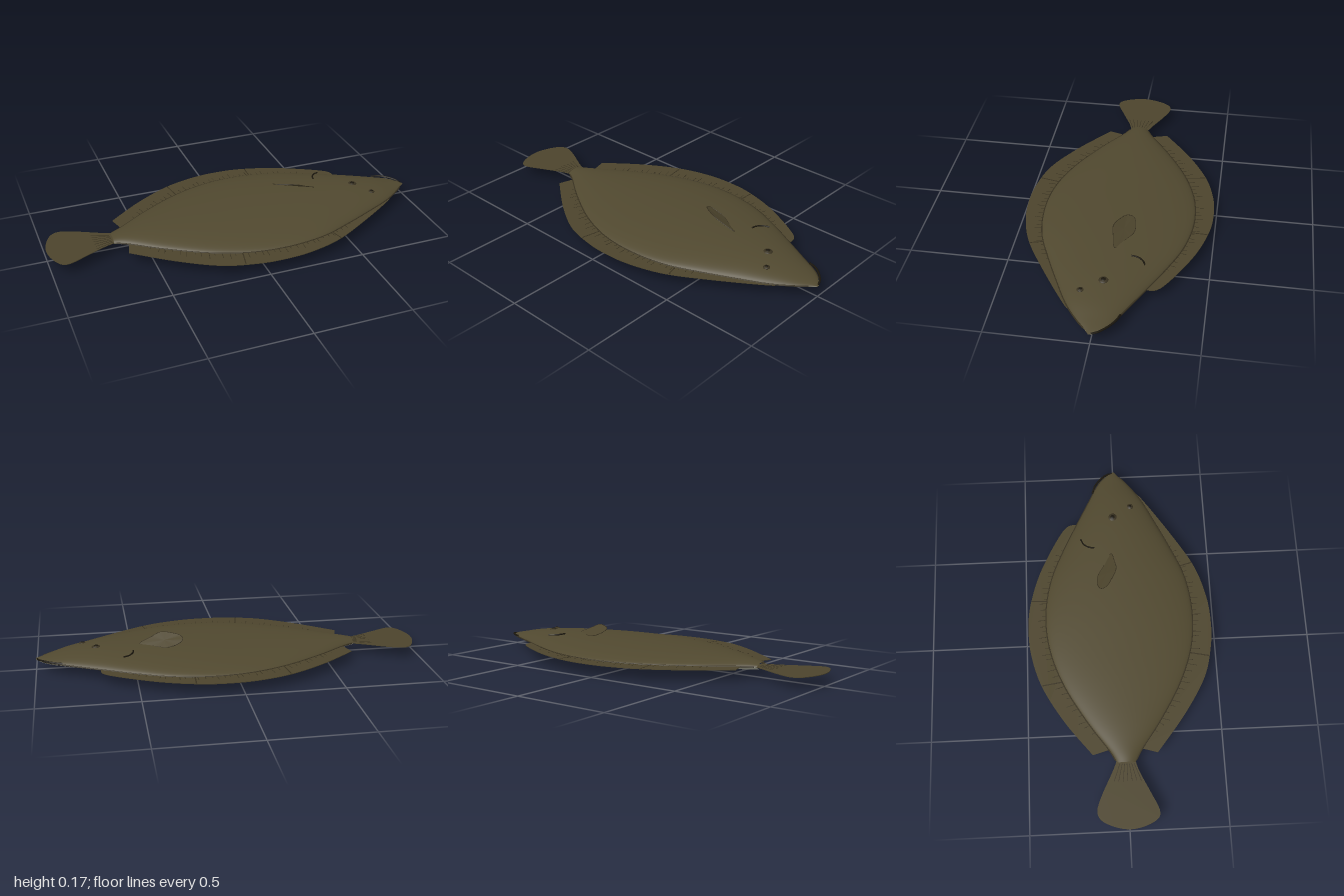
import * as THREE from 'three';

const mat = (name, color, side = THREE.FrontSide) => {
  const m = new THREE.MeshStandardMaterial({ color, side });
  m.name = name;
  return m;
};

export function createModel() {
  const group = new THREE.Group();
  const olive = mat('olive skin', 0x50482f);
  const finOlive = mat('olive fin', 0x4c442c, THREE.DoubleSide);
  const pale = mat('pale belly', 0xb2b2a0);
  const dark = mat('dark markings', 0x1a160d);
  const shade = mat('fin ray brown', 0x383120);
  const add = (name, geo, material) => {
    const m = new THREE.Mesh(geo, material);
    m.name = name;
    group.add(m);
    return m;
  };
  const V = (p) => new THREE.Vector3(...p);

  // Body stations: x, back edge z, front edge z, top y, bottom y
  const stations = [
    [-0.665, -0.05, 0.045, 0.076, 0.042], [-0.6, -0.085, 0.08, 0.086, 0.036],
    [-0.45, -0.19, 0.185, 0.098, 0.031], [-0.25, -0.305, 0.3, 0.107, 0.027],
    [-0.05, -0.375, 0.37, 0.113, 0.024], [0.15, -0.393, 0.386, 0.118, 0.024],
    [0.35, -0.36, 0.357, 0.12, 0.025], [0.53, -0.287, 0.285, 0.118, 0.026],
    [0.68, -0.212, 0.215, 0.112, 0.029], [0.82, -0.14, 0.145, 0.097, 0.033],
    [0.92, -0.088, 0.075, 0.078, 0.038], [0.975, -0.04, 0.026, 0.067, 0.046],
    [1.0, -0.004, 0.008, 0.06, 0.056],
  ];
  const columns = [1, 2, 3, 4].map((c) => new THREE.SplineCurve(
    stations.map((s) => new THREE.Vector2(s[0], s[c]))));
  const midY = 0.059;
  const NX = 72, NZ = 32;

  // One dome of the body, upper (column 2) or lower (column 3)
  function dome(col, up) {
    const pos = [], idx = [];
    for (let i = 0; i <= NX; i++) {
      const [back, front] = [0, 1].map((c) => columns[c].getPoint(i / NX));
      const h = columns[col].getPoint(i / NX).y - midY;
      for (let j = 0; j <= NZ; j++) {
        const u = -Math.cos((j / NZ) * Math.PI);
        const z = (back.y + front.y) / 2 + u * (front.y - back.y) / 2;
        pos.push(back.x, midY + h * Math.pow(Math.max(0, 1 - u * u), 0.62), z);
        if (i < NX && j < NZ) {
          const a = i * (NZ + 1) + j, b = a + NZ + 1;
          if (up) idx.push(a, a + 1, b, b, a + 1, b + 1);
          else idx.push(a, b, a + 1, b, b + 1, a + 1);
        }
      }
    }
    const g = new THREE.BufferGeometry();
    g.setAttribute('position', new THREE.Float32BufferAttribute(pos, 3));
    g.setIndex(idx);
    g.computeVertexNormals();
    return g;
  }
  add('upperBody', dome(2, true), olive);
  add('lowerBody', dome(3, false), pale);

  // Flat fins: a smooth outer edge, closed by points hidden in the body
  function flatFin(name, outer, inner) {
    const curve = new THREE.SplineCurve(outer.map((p) => new THREE.Vector2(...p)));
    const pts = [...curve.getPoints(60), ...inner.map((p) => new THREE.Vector2(...p))];
    const g = new THREE.ExtrudeGeometry(new THREE.Shape(pts), { depth: 0.003, bevelEnabled: false });
    g.rotateX(Math.PI / 2).translate(0, 0.061, 0);
    add(name, g, finOlive);
    return curve;
  }
  const dorsal = flatFin('dorsalFin', [[-0.62, -0.17], [-0.44, -0.31], [-0.25, -0.42], [-0.08, -0.473],
    [0.07, -0.487], [0.22, -0.473], [0.42, -0.41], [0.65, -0.285], [0.68, -0.21]],
  [[0.62, -0.16], [0, -0.25], [-0.59, -0.065]]);
  const anal = flatFin('analFin', [[-0.62, 0.16], [-0.42, 0.315], [-0.23, 0.428], [-0.06, 0.473],
    [0.08, 0.483], [0.23, 0.468], [0.41, 0.412], [0.62, 0.29], [0.83, 0.15], [0.85, 0.12]],
  [[0.8, 0.1], [0, 0.25], [-0.59, 0.06]]);
  flatFin('tailFin', [[-0.64, -0.045], [-0.71, -0.075], [-0.82, -0.13], [-0.9, -0.158], [-0.95, -0.14],
    [-0.985, -0.075], [-1, 0], [-0.988, 0.075], [-0.955, 0.14], [-0.91, 0.152], [-0.82, 0.112],
    [-0.71, 0.06], [-0.64, 0.04]], []);

  // Short rays along the fin roots, with a few long seams
  function ray(x0, z0, x1, z1, w, material) {
    const g = new THREE.BoxGeometry(Math.hypot(x1 - x0, z1 - z0), 0.004, w);
    const m = add('finRay', g, material);
    m.position.set((x0 + x1) / 2, 0.0597, (z0 + z1) / 2);
    m.rotation.y = -Math.atan2(z1 - z0, x1 - x0);
  }
  [[dorsal, 0, [-0.22, 0.23]], [anal, 1, [-0.1, 0.41]]].forEach(([outer, side, seams]) => {
    const rim = columns[side].getPoints(200);
    const edge = outer.getPoints(200);
    const near = (list, x) => list.reduce((a, b) => (Math.abs(b.x - x) < Math.abs(a.x - x) ? b : a));
    const link = (x, f, w) => {
      const a = near(rim, x), b = near(edge, x * 1.06 - 0.01);
      ray(a.x, a.y, a.x + (b.x - a.x) * f, a.y + (b.y - a.y) * f, w, shade);
    };
    for (let i = 0; i < 34; i++) link(-0.5 + i * 0.031, 0.22 + 0.12 * (i % 3), 0.003);
    seams.forEach((x) => link(x, 0.97, 0.006));
  });
  for (let i = -3; i <= 3; i++) ray(-0.67, i * 0.012, -0.76, i * 0.023, 0.003, shade);

  // Thin lines: body rim, gill slits and mouth
  function line(name, pts, r, material) {
    const c = new THREE.CatmullRomCurve3(pts.map(V));
    return add(name, new THREE.TubeGeometry(c, 40, r, 6), material);
  }
  [0, 1].forEach((c) => line('bodyRim',
    columns[c].getPoints(40).slice(1, 37).map((p) => [p.x, 0.06, p.y]), 0.004, shade));
  line('upperGill', [[0.565, 0.113, -0.193], [0.535, 0.114, -0.178], [0.515, 0.116, -0.15], [0.51, 0.117, -0.12]], 0.004, dark);
  line('lowerGill', [[0.575, 0.022, 0.145], [0.545, 0.021, 0.08], [0.54, 0.021, 0.01], [0.575, 0.022, -0.09]], 0.004, dark);
  line('mouth', [[0.865, 0.068, -0.12], [0.91, 0.07, -0.104], [0.955, 0.068, -0.07], [0.985, 0.063, -0.032], [0.992, 0.058, -0.005]], 0.005, dark);

  // Eyes: low domes with dark pupils
  [[0.692, 0.108, -0.013, 0.024], [0.76, 0.098, 0.085, 0.017]].forEach(([x, y, z, r]) => {
    const eye = add('eye', new THREE.SphereGeometry(r, 20, 12), shade);
    eye.scale.y = 0.38;
    eye.position.set(x, y, z);
    const pupil = add('pupil', new THREE.SphereGeometry(r * 0.55, 16, 10), dark);
    pupil.scale.y = 0.4;
    pupil.position.set(x, y + r * 0.24, z);
  });

  // Pectoral fins: a smooth leaf fanned from its middle, with an edge line
  function leaf(name, pts) {
    const loop = new THREE.CatmullRomCurve3(pts.map(V), true).getPoints(40);
    const mid = loop.reduce((s, p) => s.add(p), new THREE.Vector3()).divideScalar(loop.length);
    const tris = [];
    for (let i = 0; i < 40; i++) tris.push(mid, loop[i], loop[i + 1]);
    const g = new THREE.BufferGeometry().setFromPoints(tris);
    g.computeVertexNormals();
    add(name, g, finOlive);
    add(name + 'Edge', new THREE.TubeGeometry(new THREE.CatmullRomCurve3(loop.slice(0, 40), true), 60, 0.0018, 5, true), shade);
  }
  leaf('upperPectoralFin', [[0.47, 0.12, -0.032], [0.41, 0.147, -0.015], [0.36, 0.168, -0.008],
    [0.3, 0.169, -0.035], [0.26, 0.162, -0.065], [0.255, 0.15, -0.095], [0.29, 0.131, -0.111],
    [0.34, 0.119, -0.108], [0.39, 0.117, -0.08]]);
  leaf('lowerPectoralFin', [[0.47, 0.026, 0.015], [0.42, 0.023, 0.035], [0.36, 0.02, 0.075],
    [0.31, 0.011, 0.108], [0.29, 0.004, 0.115], [0.3, 0.002, 0.085], [0.35, 0.005, 0.05], [0.42, 0.018, 0.018]]);
  return group;
}
